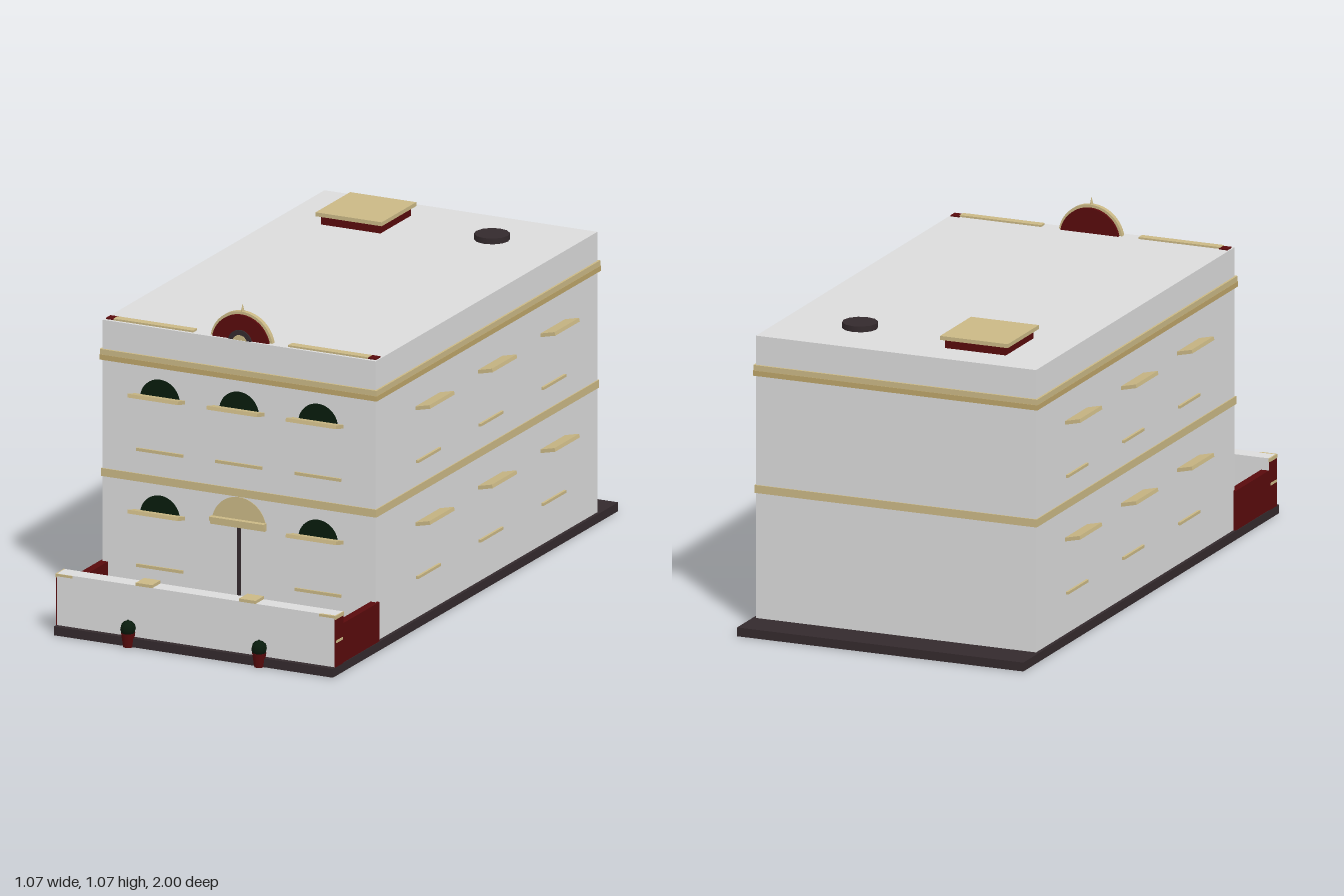
import * as THREE from 'three';

const mat = (name, color) => {
  const m = new THREE.MeshStandardMaterial({ color });
  m.name = name;
  return m;
};

export function createModel() {
  const white = mat('whitePlaster', 0xdbdbdb);
  const gold = mat('sandStone', 0xcab885);
  const deepGold = mat('deepSandStone', 0xbda56a);
  const red = mat('darkRed', 0x590a0c);
  const dark = mat('darkStone', 0x342a2d);
  const green = mat('darkGreen', 0x081b0c);

  const model = new THREE.Group();
  const add = (name, geo, material, x = 0, y = 0, z = 0, parent = model) => {
    const mesh = new THREE.Mesh(geo, material);
    mesh.name = name;
    mesh.position.set(x, y, z);
    parent.add(mesh);
    return mesh;
  };
  // Box given by its limits on each axis
  const box = (name, material, x0, x1, y0, y1, z0, z1, parent = model) =>
    add(name, new THREE.BoxGeometry(x1 - x0, y1 - y0, z1 - z0), material,
      (x0 + x1) / 2, (y0 + y1) / 2, (z0 + z1) / 2, parent);
  // Upright half ring (or half disc when inner is 0) with depth along z
  const arch = (name, material, outer, inner, depth, x, y, z) => {
    const s = new THREE.Shape();
    s.absarc(0, 0, outer, 0, Math.PI, false);
    if (inner > 0) s.absarc(0, 0, inner, Math.PI, 0, true);
    s.closePath();
    const g = new THREE.ExtrudeGeometry(s, { depth, bevelEnabled: false, curveSegments: 24 });
    return add(name, g, material, x, y, z);
  };

  const W = 0.483, F = 0.66, B = -0.877, ROOF = 0.956;

  // Ground slab, main block and doorstep
  box('groundSlab', dark, -0.494, 0.494, 0.001, 0.03, -1, 0.978);
  box('mainBlock', white, -W, W, 0, ROOF, B, F);
  box('doorstep', dark, -0.138, 0.138, 0.03, 0.045, F, 0.765);

  // Horizontal bands around the block
  const band = (name, material, y0, y1, out) =>
    box(name, material, -W - out, W + out, y0, y1, B - out, F + out);
  band('floorBand', gold, 0.441, 0.467, 0.004);
  band('corniceLower', deepGold, 0.826, 0.843, 0.008);
  band('corniceUpper', gold, 0.843, 0.861, 0.007);

  // Tilted window ledge, placed on any wall
  const ledge = (x, y, z, turn, width) => {
    const g = new THREE.Group();
    g.name = 'windowLedge';
    g.position.set(x, y, z);
    g.rotation.y = turn;
    const tilt = new THREE.Group();
    tilt.rotation.x = -0.23;
    g.add(tilt);
    box('ledgeBoard', gold, -width / 2, width / 2, -0.006, 0.006, -0.006, 0.053, tilt);
    model.add(g);
  };
  for (const y of [0.341, 0.724]) {
    const sillY = y - 0.177;
    // Front windows
    for (const x of [-0.28, 0, 0.28]) {
      if (x === 0 && y < 0.5) continue;
      ledge(x, y, F, 0, 0.178);
      arch('windowArch', green, 0.07, 0, 0.002, x, y - 0.007, F);
      box('windowSill', gold, x - 0.082, x + 0.082, sillY - 0.005, sillY + 0.005, F, F + 0.006);
    }
    // Side windows
    for (const side of [-1, 1]) {
      for (const z of [0.3, -0.133, -0.567]) {
        ledge(side * W, y, z, side * Math.PI / 2, 0.17);
        add('sideSill', new THREE.BoxGeometry(0.008, 0.009, 0.158), gold,
          side * (W + 0.004), sillY, z);
      }
    }
  }

  // Entrance: fan arch, lintel and centre seam of the doors
  arch('doorArch', gold, 0.096, 0, 0.002, 0, 0.343, F);
  box('doorLintelUpper', gold, -0.097, 0.097, 0.353, 0.366, F, F + 0.02);
  box('doorLintelLower', gold, -0.097, 0.097, 0.341, 0.353, F, F + 0.012);
  box('doorSeam', dark, -0.006, 0.006, 0.045, 0.341, F, F + 0.002);

  // Forecourt wall
  box('frontWall', white, -0.492, 0.492, 0.03, 0.2, 0.905, 0.96);
  for (const s of [-1, 1]) {
    const pair = (name, m, x0, x1, ...rest) =>
      box(name, m, Math.min(s * x0, s * x1), Math.max(s * x0, s * x1), ...rest);
    pair('sideWall', red, 0.465, 0.492, 0.03, 0.16, 0.65, 0.906);
    pair('wallEndPanel', red, 0.491, 0.495, 0.03, 0.188, 0.905, 0.961);
    pair('wallEndCap', gold, 0.491, 0.496, 0.188, 0.2, 0.904, 0.962);
    pair('wallEndStrip', gold, 0.491, 0.497, 0.11, 0.118, 0.912, 0.958);
    pair('wallCornerTrim', gold, 0.437, 0.495, 0.192, 0.2, 0.955, 0.963);
    pair('gatePostCap', gold, 0.154, 0.212, 0.2, 0.21, 0.904, 0.962);

    // Potted shrub
    const shrub = new THREE.Group();
    shrub.name = 'pottedShrub';
    shrub.position.set(s * 0.232, 0, 0.976);
    model.add(shrub);
    add('pot', new THREE.CylinderGeometry(0.023, 0.016, 0.047, 10), red, 0, 0.0235, 0, shrub);
    add('shrubBall', new THREE.SphereGeometry(0.026, 8, 6), green, 0, 0.06, 0, shrub);
    add('shrubTip', new THREE.ConeGeometry(0.022, 0.024, 8), green, 0, 0.078, 0, shrub);

    // Parapet trim on the roof front
    pair('parapetTrim', gold, 0.168, 0.45, ROOF, 0.962, 0.622, 0.65);
    pair('parapetCorner', red, 0.448, 0.478, ROOF, 0.96, 0.616, 0.648);
  }

  // Roof crest: red half disc, slim stone rim, fan and spike
  arch('crestPanel', red, 0.102, 0, 0.034, 0, 0.936, 0.618);
  arch('crestRim', gold, 0.111, 0.099, 0.016, 0, 0.936, 0.628);
  arch('crestFanRing', dark, 0.042, 0.02, 0.006, 0, 0.947, 0.651);
  arch('crestFan', gold, 0.026, 0, 0.007, 0, 0.947, 0.651);
  add('crestSpike', new THREE.ConeGeometry(0.007, 0.03, 8), gold, 0, 1.057, 0.636);

  // Roof hatch and vent
  box('hatchBase', red, -0.328, -0.118, ROOF, 0.985, -0.763, -0.55);
  box('hatchLid', gold, -0.341, -0.107, 0.985, 0.998, -0.777, -0.537);
  add('roofVent', new THREE.CylinderGeometry(0.057, 0.057, 0.022, 12), dark, 0.222, 0.964, -0.658);

  return model;
}
